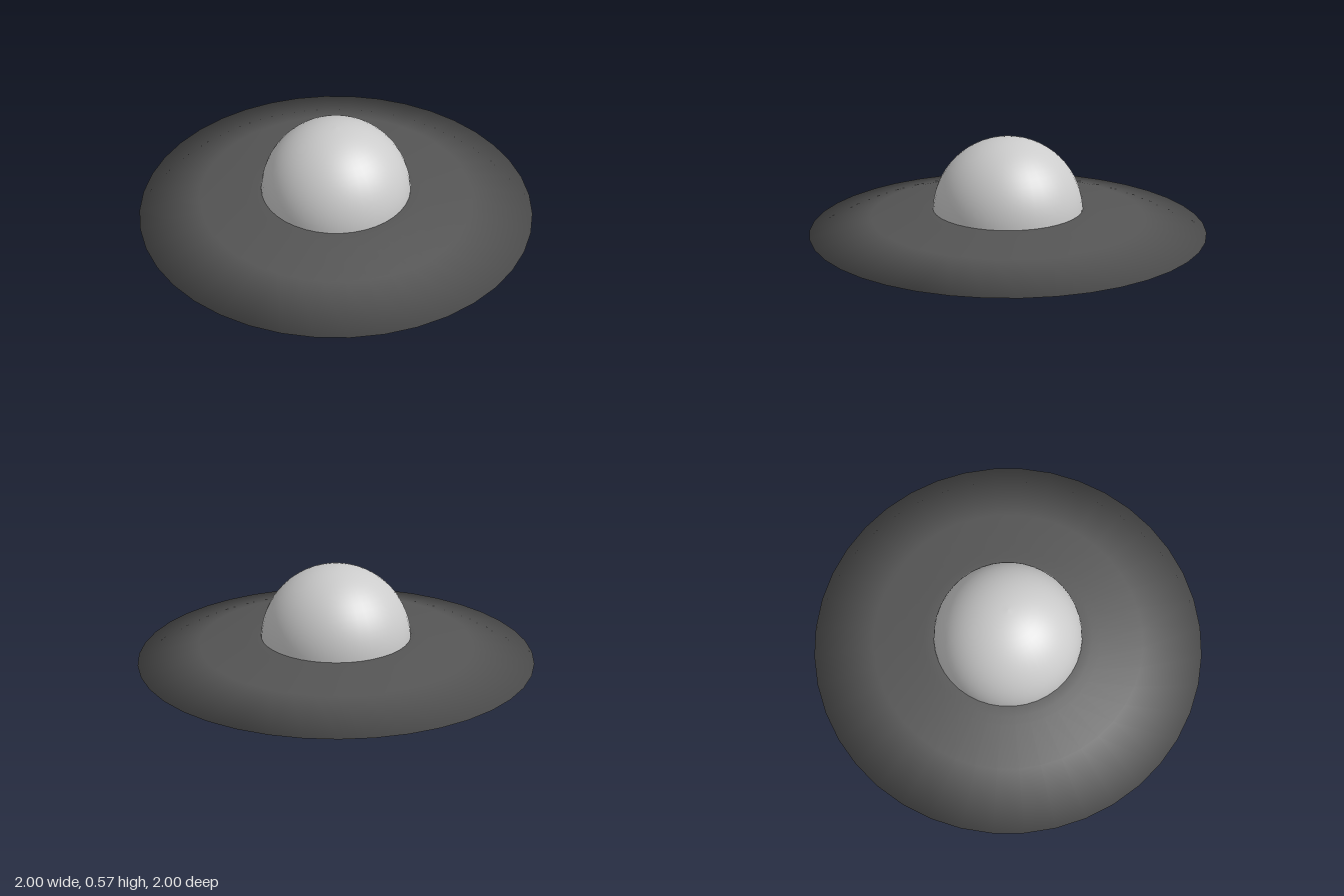
import * as THREE from 'three';

const SEGMENTS = 40;
const STEP = (Math.PI * 2) / SEGMENTS;

// Turns a list of [radius, height] pairs around the y axis
function turned(name, profile, color, start = 0, count = SEGMENTS) {
  const points = profile.map(([r, y]) => new THREE.Vector2(r, y));
  const geometry = new THREE.LatheGeometry(points, count, start * STEP, count * STEP);
  const material = new THREE.MeshStandardMaterial({ color, side: THREE.DoubleSide });
  const mesh = new THREE.Mesh(geometry, material);
  mesh.name = name;
  return mesh;
}

// Quarter-ellipse profile points between two angles
function arc(rx, ry, cy, from, to, steps) {
  return Array.from({ length: steps + 1 }, (_, i) => {
    const a = from + ((to - from) * i) / steps;
    return [Math.max(0, rx * Math.cos(a)), cy + ry * Math.sin(a)];
  });
}

export function createModel() {
  const group = new THREE.Group();
  group.name = 'flyingSaucer';
  const light = 0xcccccc;
  const dark = 0x555555;

  // Saucer hull, from the underside opening round the rim to the dome
  group.add(turned('hull', [
    [0.41, 0], [0.43, 0.005], [0.47, 0.018], [0.69, 0.04], [1, 0.107],
    [0.69, 0.175], [0.47, 0.197], [0.43, 0.21], [0.36, 0.21],
  ], dark));

  // Cockpit dome
  group.add(turned('dome', arc(0.38, 0.38, 0.19, 0, Math.PI / 2, 16), light));

  // Shallow underside dish with one dark slice
  const dish = [[0, 0.13], [0.2, 0.067], [0.41, 0]];
  group.add(turned('undersideDish', dish, light, 6, SEGMENTS - 1));
  group.add(turned('undersideSlice', dish, dark, 5, 1));

  // Rounded hub bulging out of the dish
  group.add(turned('undersideHub', arc(0.22, 0.1, 0.115, -Math.PI / 2, 0, 8), light));

  return group;
}
